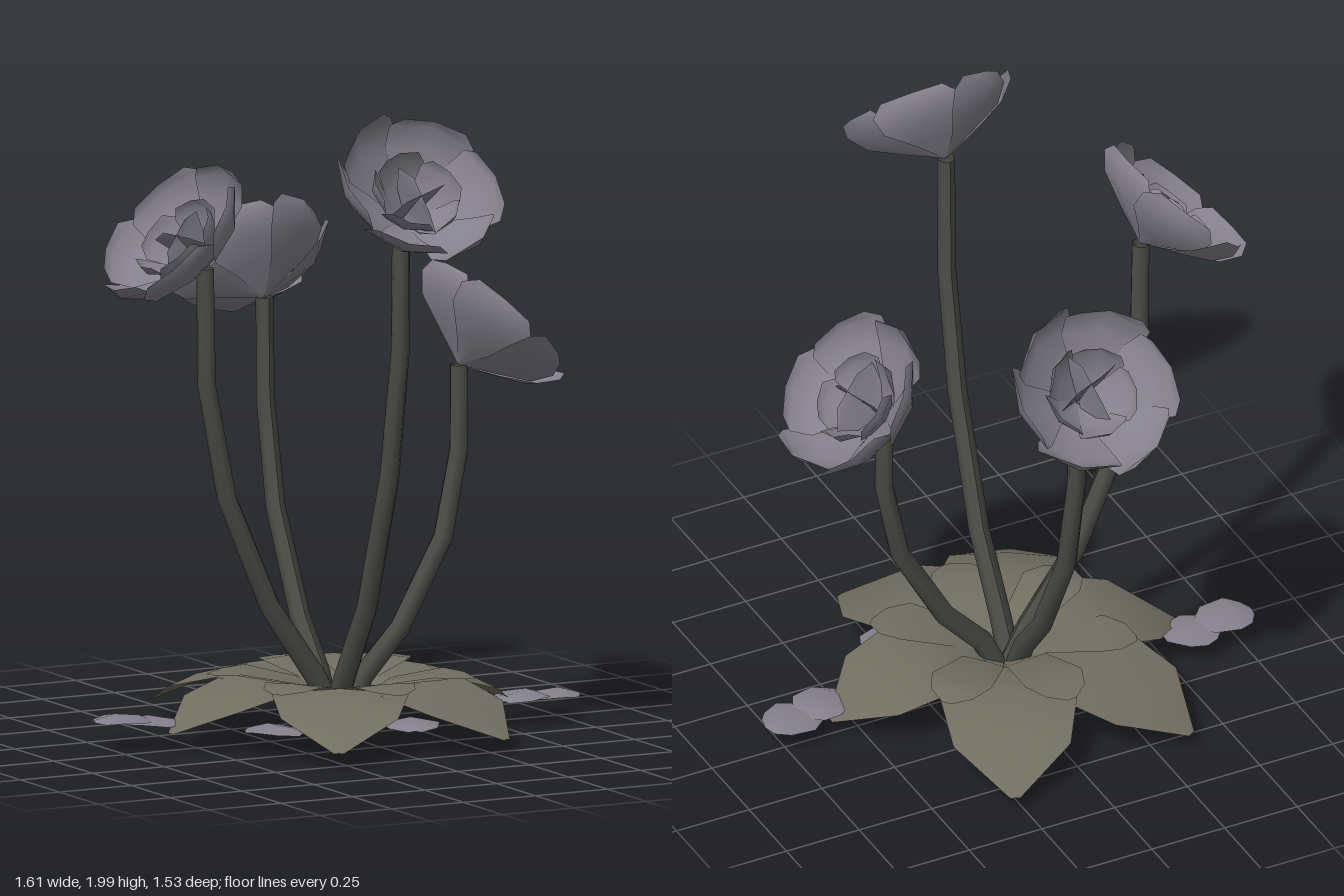
import * as THREE from 'three';

const mat = (name, color) =>
  new THREE.MeshStandardMaterial({ name, color, side: THREE.DoubleSide });

// Thin surface from rows; point(row, s, index) with s running from -1 to 1 across
function sheet(rows, cols, point) {
  const pos = [], idx = [];
  rows.forEach((row, r) => {
    for (let c = 0; c <= cols; c++) pos.push(...point(row, (c / cols) * 2 - 1, r));
  });
  for (let r = 0; r < rows.length - 1; r++) {
    for (let c = 0; c < cols; c++) {
      const a = r * (cols + 1) + c, b = a + cols + 1;
      idx.push(a, b, a + 1, a + 1, b, b + 1);
    }
  }
  const g = new THREE.BufferGeometry();
  g.setAttribute('position', new THREE.Float32BufferAttribute(pos, 3));
  g.setIndex(idx);
  g.computeVertexNormals();
  return g;
}

// Cupped petal: rows are [radius, height, half angle], skewed so neighbours overlap
const cupPetal = (rows) => sheet(rows, 2, ([r, h, a], s) => {
  const rr = r * (1 + 0.05 * s);
  return [rr * Math.cos(s * a), h, rr * Math.sin(s * a)];
});

// Leaf or flat petal along +x: rows are [distance, height, half width]
const flatBlade = (rows, droop) => sheet(rows, 2, ([d, y, w], s) =>
  [d, y - droop * Math.abs(s) * w, s * w]);

// Tapered seven-sided stem through [outward, height] points, bending in one vertical plane
const stemTube = (path, [dx, dz], [ox, oz]) => sheet(path, 7, ([d, y], s, i) => {
  const p = path[Math.max(i - 1, 0)], n = path[Math.min(i + 1, path.length - 1)];
  const len = Math.hypot(n[0] - p[0], n[1] - p[1]);
  const td = (n[0] - p[0]) / len, ty = (n[1] - p[1]) / len;
  const r = 0.036 - 0.0016 * i;
  const u = r * Math.cos(s * Math.PI), v = r * Math.sin(s * Math.PI);
  const out = d + u * ty;
  return [dx * out - dz * v + ox, y - u * td, dz * out + dx * v + oz];
});

export function createModel() {
  const model = new THREE.Group();
  const petalMat = mat('petal grey', 0x85808d);
  const leafMat = mat('leaf olive', 0x726e60);
  const stemMat = mat('stem dark green', 0x4a4c44);

  const add = (parent, name, geo, material) => {
    const m = new THREE.Mesh(geo, material);
    m.name = name;
    parent.add(m);
    return m;
  };

  const outerGeo = cupPetal([[0.005, 0, 0.5], [0.12, 0.055, 0.55], [0.215, 0.105, 0.62], [0.258, 0.16, 0.56], [0.255, 0.195, 0.4]]);
  const innerGeo = cupPetal([[0.005, 0.01, 0.6], [0.09, 0.065, 0.68], [0.14, 0.125, 0.65], [0.14, 0.16, 0.45]]);
  const coreGeo = sheet([[0.02, 0.02], [0.06, 0.08], [0.13, 0.12], [0.165, 0.06]], 2,
    ([h, w], s) => [s * w, h, 0.012 * s]);

  // Blossom: outer cup, inner cup and two crossed upright petals
  function makeFlower() {
    const flower = new THREE.Group();
    flower.name = 'flower';
    for (let i = 0; i < 6; i++) {
      const petal = add(flower, 'outerPetal', outerGeo, petalMat);
      petal.rotation.y = (i * Math.PI) / 3;
    }
    for (let i = 0; i < 5; i++) {
      add(flower, 'innerPetal', innerGeo, petalMat).rotation.y = 0.4 + (i * Math.PI * 2) / 5;
    }
    for (let i = 0; i < 2; i++) {
      const core = add(flower, 'corePetal', coreGeo, petalMat);
      core.rotation.set(0.15, 0.5 + i * 1.4, 0);
    }
    return flower;
  }

  // Stems: outward distance and height, on each side of the plant
  const stems = [
    { dir: [1, 0], off: [0, 0.005], path: [[0.07, 0.18], [0.2, 0.32], [0.35, 0.59], [0.405, 0.86], [0.405, 1.12]] },
    { dir: [-1, 0], off: [0, 0.005], path: [[0.09, 0.19], [0.25, 0.42], [0.4, 0.77], [0.47, 1.13], [0.475, 1.49]] },
    { dir: [0, 1], off: [-0.035, 0], path: [[0.09, 0.2], [0.23, 0.43], [0.375, 0.86], [0.445, 1.26], [0.45, 1.67]] },
    { dir: [0, -1], off: [-0.035, 0], path: [[0.08, 0.19], [0.2, 0.34], [0.36, 0.66], [0.425, 0.99], [0.43, 1.3]] },
  ];
  stems.forEach(({ dir, off, path }) => {
    add(model, 'stem', stemTube([[-0.005, 0.018], ...path], dir, off), stemMat);
    const [d, y] = path[path.length - 1];
    const flower = makeFlower();
    flower.position.set(dir[0] * d + off[0], y, dir[1] * d + off[1]);
    flower.quaternion.setFromUnitVectors(new THREE.Vector3(0, 1, 0),
      new THREE.Vector3(dir[0], 1, dir[1]).normalize());
    model.add(flower);
  });

  // Rosette of broad drooping leaves: angle from +x towards +z, and length scale
  const leafGeo = flatBlade([[0.01, 0.085, 0.01], [0.14, 0.165, 0.1], [0.32, 0.2, 0.21],
    [0.5, 0.15, 0.18], [0.66, 0.055, 0.015]], 0.08);
  [[0, 0.9], [66, 0.97], [119, 0.98], [180, 0.9], [238, 1.02], [294, 1.05]].forEach(([deg, k]) => {
    const leaf = add(model, 'leaf', leafGeo, leafMat);
    leaf.rotation.y = -THREE.MathUtils.degToRad(deg);
    leaf.scale.set(k, 1, 1);
  });

  // Small upper leaves between the broad ones
  const smallGeo = flatBlade([[0.01, 0.09, 0.005], [0.14, 0.175, 0.07], [0.3, 0.206, 0.1],
    [0.37, 0.198, 0.07], [0.41, 0.188, 0.015]], 0.04);
  [36, 92, 147, 211, 266, 322].forEach((deg) => {
    add(model, 'smallLeaf', smallGeo, leafMat).rotation.y = -THREE.MathUtils.degToRad(deg);
  });

  // Fallen petals lying around the plant: x, z, turn
  const fallenGeo = flatBlade([[-0.09, 0, 0.02], [-0.05, 0.014, 0.075], [0.03, 0.016, 0.09],
    [0.075, 0, 0.06], [0.095, -0.008, 0.02]], 0.2);
  [[0.705, 0.03, -0.2], [0.59, 0.06, 0.5], [-0.705, -0.1, 3], [-0.59, -0.1, 2.4],
    [0.05, 0.36, 1.2], [0.26, 0.25, 0.6], [-0.34, 0.21, 2.2]].forEach(([x, z, turn], i) => {
    const p = add(model, 'fallenPetal', fallenGeo, petalMat);
    p.position.set(x, 0.078 + 0.008 * (i % 3), z);
    p.rotation.set(0, turn, 0.08);
  });

  return model;
}
